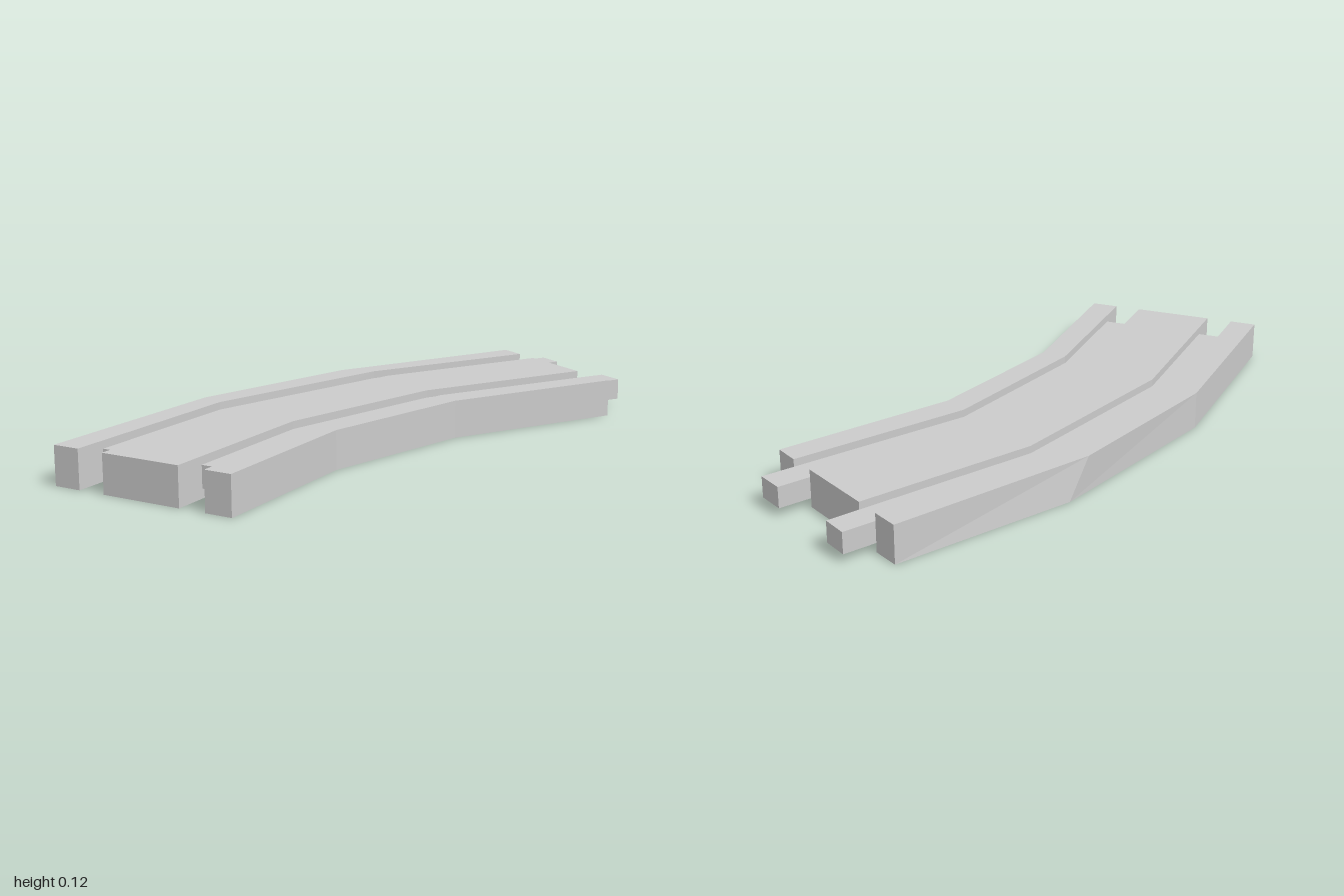
import * as THREE from 'three';

// Lengthwise lines of the curved track in plan, [x, z], from front to back
const lines = [
  [[-0.535, 1], [-0.522, 0.28], [-0.36, -0.32], [-0.015, -0.95]],
  [[-0.445, 1], [-0.44, 0.31], [-0.25, -0.36], [0.065, -0.905]],
  [[-0.355, 1], [-0.35, 0.34], [-0.17, -0.32], [0.14, -0.86]],
  [[-0.085, 1], [-0.09, 0.41], [0.06, -0.18], [0.375, -0.725]],
  [[0.005, 1], [0, 0.43], [0.135, -0.14], [0.455, -0.68]],
  [[0.095, 1], [0.085, 0.44], [0.215, -0.09], [0.53, -0.635]],
];
const HEIGHT = 0.125;
const SHIFT = 0.11; // how far the rails are slid backwards

// Slide the two ends of a line along its own direction
function slide(line) {
  const [a, b, c, d] = line;
  const len = Math.hypot(d[0] - c[0], d[1] - c[1]);
  return [
    [a[0], a[1] - SHIFT], b, c,
    [d[0] + (d[0] - c[0]) / len * SHIFT, d[1] + (d[1] - c[1]) / len * SHIFT],
  ];
}

// Closed bar of rectangular cross-sections between two plan lines
function bar(name, left, right, y0, y1, leftBottom = left) {
  const sections = left.map((l, i) => {
    const r = right[i], lb = leftBottom[i];
    return [[lb[0], y0, lb[1]], [r[0], y0, r[1]], [r[0], y1, r[1]], [l[0], y1, l[1]]];
  });
  const pos = [];
  const quad = (a, b, c, d) => pos.push(...a, ...b, ...c, ...a, ...c, ...d);
  for (let s = 0; s < sections.length - 1; s++) {
    const p = sections[s], q = sections[s + 1];
    for (let i = 0; i < 4; i++) {
      const j = (i + 1) % 4;
      quad(p[i], q[i], q[j], p[j]);
    }
  }
  const [a, b, c, d] = sections[0];
  const [e, f, g, h] = sections[sections.length - 1];
  quad(a, b, c, d);
  quad(h, g, f, e);

  const geometry = new THREE.BufferGeometry();
  geometry.setAttribute('position', new THREE.Float32BufferAttribute(pos, 3));
  geometry.computeVertexNormals();
  const mesh = new THREE.Mesh(geometry, new THREE.MeshStandardMaterial({ color: 0xcccccc, flatShading: true }));
  mesh.name = name;
  return mesh;
}

export function createModel() {
  const group = new THREE.Group();
  group.name = 'curvedTrack';

  // Outer border: its lower bend sits slightly further back than the upper one
  const outerBottom = lines[0].map((p, i) => (i === 2 ? [-0.33, -0.4] : p));
  group.add(bar('outerBorder', lines[0], lines[1], 0, HEIGHT, outerBottom));

  // Centre bed and inner border
  group.add(bar('centreBed', lines[2], lines[3], 0, HEIGHT));
  group.add(bar('innerBorder', lines[4], lines[5], 0, HEIGHT));

  // Recessed rails, leaving sockets at the front and tabs at the back
  for (const [name, i] of [['outerRail', 1], ['innerRail', 3]]) {
    group.add(bar(name, slide(lines[i]), slide(lines[i + 1]), 0.03, 0.1));
  }
  return group;
}
